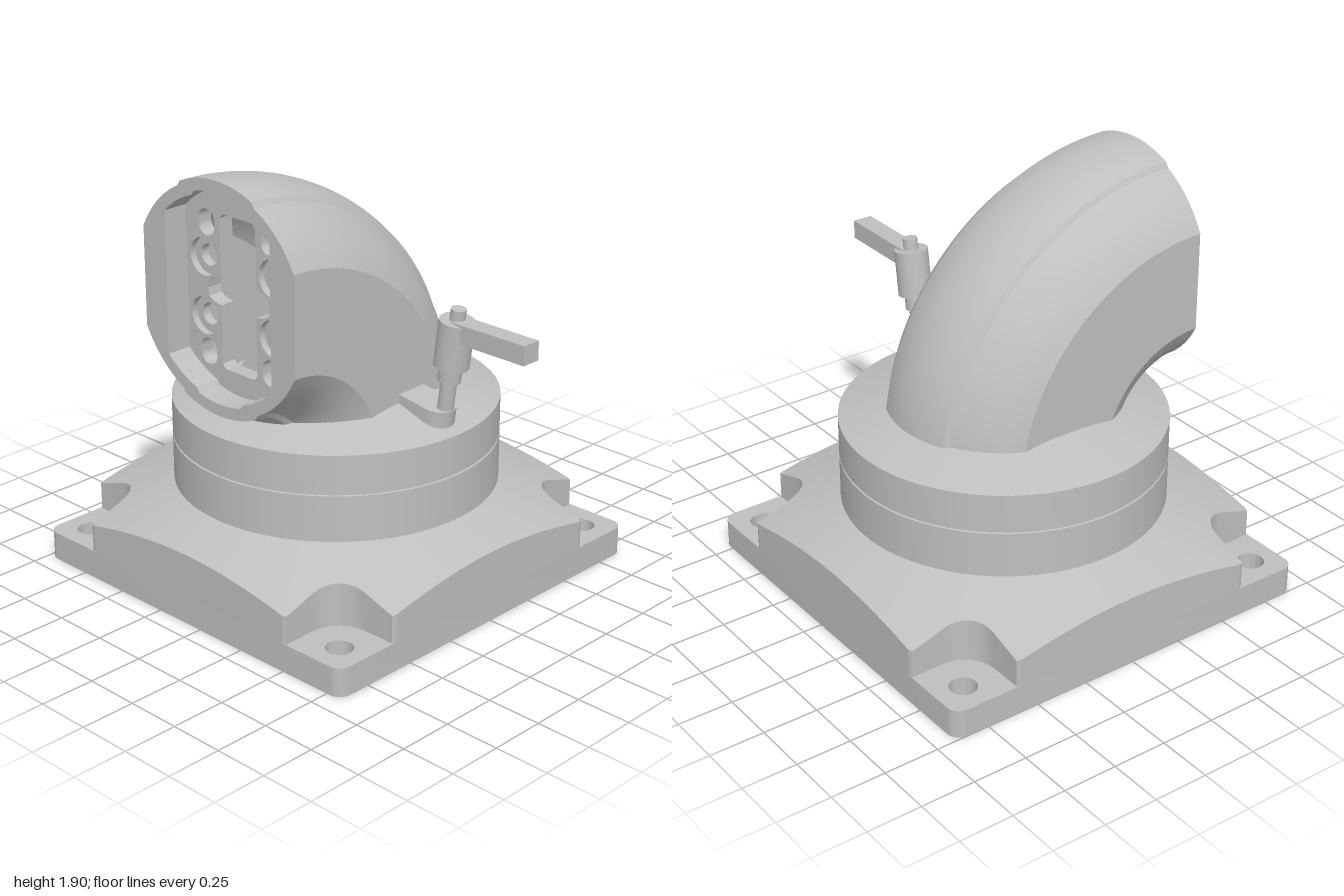
import * as THREE from 'three';
import { toCreasedNormals } from 'three/addons/utils/BufferGeometryUtils.js';

const CREASE = 0.28;
const BEND = 0.6875; // radius of the elbow's centre line, also the bend centre in y and z
const HALF = 0.9125; // half width of the square base

export function createModel() {
  const grey = new THREE.MeshStandardMaterial({ color: 0xbfbfbf, side: THREE.DoubleSide });
  const model = new THREE.Group();
  const body = new THREE.Group();
  body.name = 'body';
  body.position.x = HALF - 1;
  model.add(body);

  const add = (name, geometry, parent = body) => {
    const mesh = new THREE.Mesh(geometry, grey);
    mesh.name = name;
    parent.add(mesh);
    return mesh;
  };
  const V2 = (x, y) => new THREE.Vector2(x, y);
  const circle = (r, x = 0, y = 0) => new THREE.Path().absarc(x, y, r, 0, Math.PI * 2).getPoints(24);
  const roundRect = (w, h, r, x = 0, y = 0) => {
    const p = new THREE.Path(), a = w / 2 - r, b = h / 2 - r;
    p.absarc(x + a, y + b, r, 0, Math.PI / 2);
    p.absarc(x - a, y + b, r, Math.PI / 2, Math.PI);
    p.absarc(x - a, y - b, r, Math.PI, Math.PI * 1.5);
    p.absarc(x + a, y - b, r, Math.PI * 1.5, Math.PI * 2);
    return p.getPoints(8);
  };
  const shape = (points, holes = []) => {
    const s = new THREE.Shape(points);
    s.holes = holes.map(h => new THREE.Path(h));
    return s;
  };
  const extrude = (points, holes, depth) => toCreasedNormals(
    new THREE.ExtrudeGeometry(shape(points, holes), { depth, bevelEnabled: false }), CREASE);
  // Horizontal plate from y0 to y1
  const plate = (points, holes, y0, y1) =>
    extrude(points, holes, y1 - y0).rotateX(-Math.PI / 2).translate(0, y0, 0);

  // Skin through closed rings with equal point counts
  const loft = rings => {
    const n = rings[0].length, index = [];
    for (let i = 0; i < rings.length - 1; i++) for (let j = 0; j < n; j++) {
      const a = i * n + j, b = i * n + (j + 1) % n;
      index.push(a, a + n, b, b, a + n, b + n);
    }
    const g = new THREE.BufferGeometry().setFromPoints(rings.flat());
    g.setIndex(index);
    return toCreasedNormals(g, CREASE);
  };

  // ---- Base: sloped skirt with four corner pockets ----
  const quarter = [];
  for (let i = 0; i <= 16; i++) quarter.push(V2(HALF, -0.585 + 1.17 * i / 16));
  quarter.push(V2(HALF - 0.007, 0.605));
  for (let i = 0; i <= 8; i++) {
    const a = -Math.PI / 2 * (1 + i / 8);
    quarter.push(V2(0.75 + 0.145 * Math.cos(a), 0.75 + 0.145 * Math.sin(a)));
  }
  quarter.push(V2(0.605, HALF - 0.007));
  const outline = [];
  for (let k = 0; k < 4; k++)
    for (const p of quarter) outline.push(p.clone().rotateAround(V2(0, 0), k * Math.PI / 2));
  const skirt = (scale, drop, inner, floor) => {
    const slope = r => 0.405 - 0.4 * (r - 0.715) - drop;
    const pts = outline.map(p => p.clone().multiplyScalar(scale));
    return loft([
      pts.map(p => { const q = p.clone().setLength(inner); return new THREE.Vector3(q.x, slope(inner), q.y); }),
      pts.map(p => new THREE.Vector3(p.x, slope(p.length()), p.y)),
      pts.map(p => new THREE.Vector3(p.x, floor, p.y)),
    ]);
  };
  add('baseSkirt', skirt(1, 0, 0.7, 0.13));
  add('baseSkirtInside', skirt(0.94, 0.05, 0.64, 0.08));
  add('baseRim', plate(roundRect(2 * HALF, 2 * HALF, 0.06), [roundRect(1.7, 1.7, 0.04)], 0, 0.13));
  for (const sx of [-1, 1]) for (const sz of [-1, 1]) {
    const x = sx * 0.777, z = sz * 0.777;
    add('cornerFloor', plate(roundRect(0.33, 0.33, 0.14, sx * 0.735, sz * 0.735), [circle(0.06, x, z)], 0.07, 0.13));
    add('cornerFloorEdge', plate(roundRect(0.26, 0.26, 0.01, sx * 0.755, sz * 0.755), [circle(0.062, x, z)], 0.072, 0.1295));
    add('cornerBoss', plate(circle(0.115, x, z), [circle(0.06, x, z)], 0, 0.1));
  }
  // Radial ribs beneath the base, those to the corners reaching the bosses
  for (let k = 0; k < 8; k++) {
    const rib = new THREE.Group();
    rib.name = 'rib';
    rib.rotation.y = k * Math.PI / 4;
    body.add(rib);
    add('ribWeb', new THREE.BoxGeometry(0.22, 0.25, 0.045).translate(0.755, 0.155, 0), rib);
    if (k % 2) add('ribFoot', new THREE.BoxGeometry(0.15, 0.07, 0.045).translate(0.93, 0.065, 0), rib);
  }

  // ---- Cable opening outline: slot with a small lobe on both sides ----
  const slotOutline = lobe => {
    const side = [[0.085, -0.34], [0.105, -0.32], [0.105, -lobe], [0.15, -lobe * 0.88], [0.178, -lobe * 0.6],
      [0.185, 0], [0.178, lobe * 0.6], [0.15, lobe * 0.88], [0.105, lobe], [0.105, 0.32], [0.085, 0.34]];
    return [...side.map(([x, y]) => V2(x, y)), ...side.map(([x, y]) => V2(-x, -y))];
  };
  const slot = slotOutline(0.06);
  const crossSlot = slotOutline(0.1).map(p => V2(-p.y, p.x));

  // ---- Hub beneath the base, its slot running left to right ----
  const boltHoles = [-1, 1].flatMap(a => [-1, 1].map(b => circle(0.043, a * 0.205, b * 0.205)));
  const pinHoles = [-1, 1].map(a => circle(0.028, 0, a * 0.26));
  add('hubRing', plate(circle(0.67), [circle(0.585)], 0, 0.38));
  add('hubPlate', plate(circle(0.6), [crossSlot, ...boltHoles, ...pinHoles], 0.12, 0.24));
  add('hubCore', plate(circle(0.6), [crossSlot], 0.24, 0.7));

  // ---- Swivel rings and sloped collar ----
  const profile = [[0.66, 0.40], [0.708, 0.402], [0.708, 0.412], [0.717, 0.415], [0.717, 0.62], [0.709, 0.622],
    [0.709, 0.628], [0.717, 0.63], [0.717, 0.803], [0.45, 0.888], [0.42, 0.888]].map(([r, y]) => V2(r, y));
  add('swivelRings', toCreasedNormals(new THREE.LatheGeometry(profile, 72), CREASE));

  // ---- Elbow: hollow, swept through a quarter turn ----
  // Circle with flat sides and a slightly raised band on top and below
  const section = (R, half, band, raised) => {
    const pts = [];
    const arc = (r, a0, a1, n) => {
      for (let i = 0; i <= n; i++) {
        const a = a0 + (a1 - a0) * i / n;
        pts.push(V2(r * Math.cos(a), 0.018 + r * Math.sin(a)));
      }
    };
    const edge = Math.acos(half / R), b0 = Math.acos((band + 0.015) / R), b1 = Math.acos(band / raised);
    for (const turn of [0, Math.PI]) {
      arc(R, turn + edge, turn + b0, 6);
      arc(raised, turn + b1, turn + Math.PI - b1, 10);
      arc(R, turn + Math.PI - b0, turn + Math.PI - edge, 6);
    }
    return pts;
  };
  const bend = (pts, maxZ) => Array.from({ length: 37 }, (_, i) => {
    const a = i / 36 * Math.PI / 2;
    return pts.map(p => new THREE.Vector3(p.x, BEND + (BEND + p.y) * Math.cos(a),
      Math.min(maxZ, BEND - (BEND + p.y) * Math.sin(a))));
  });
  const outer = section(0.497, 0.445, 0.21, 0.511);
  const inner = section(0.425, 0.375, 0.19, 0.437);
  const recess = section(0.443, 0.31, 0.125, 0.458);
  add('elbow', loft(bend(outer, BEND)));
  add('elbowInside', loft(bend(inner, 0.5)));
  add('elbowFloor', plate(inner, [crossSlot], 0.69, 0.75));

  // ---- Mounting face in the mouth of the elbow ----
  const face = new THREE.Group();
  face.name = 'mountingFace';
  face.position.y = 2 * BEND;
  body.add(face);
  add('mouthRim', new THREE.ShapeGeometry(shape(outer, [recess])).translate(0, 0, BEND), face);
  add('mouthWall', loft([BEND, 0.5].map(z => recess.map(p => new THREE.Vector3(p.x, p.y, z)))), face);
  const corners = [[-1, -1], [-1, 1], [1, -1], [1, 1]];
  const pockets = corners.map(([a, b]) => roundRect(0.095, 0.115, 0.045, a * 0.185, b * 0.285));
  const screws = r => corners.map(([a, b]) => circle(r, a * 0.205, b * 0.13));
  add('facePlate', extrude(recess, [slot, ...pockets, ...screws(0.083)], 0.03).translate(0, 0, 0.54), face);
  add('screwSeats', extrude(recess, [slot, ...pockets, ...screws(0.048)], 0.04).translate(0, 0, 0.5), face);

  // ---- Clamping lever ----
  const lever = new THREE.Group();
  lever.name = 'clampLever';
  lever.position.set(0.55, 0.9, 0);
  lever.rotation.z = -0.14;
  model.add(lever);
  const lug = new THREE.Path().moveTo(-0.25, -0.078);
  lug.lineTo(-0.04, -0.078);
  lug.absarc(-0.04, 0, 0.078, -Math.PI / 2, Math.PI / 2);
  lug.lineTo(-0.25, 0.078);
  add('lug', plate(lug.getPoints(12), [], -0.08, 0), lever);
  for (const [name, r, y0, y1] of [['rod', 0.035, -0.02, 0.14], ['collar', 0.05, 0.13, 0.21],
    ['leverHub', 0.076, 0.2, 0.41], ['pin', 0.033, 0.4, 0.462]])
    add(name, new THREE.CylinderGeometry(r, r, y1 - y0, 28).translate(0, (y0 + y1) / 2, 0), lever);
  add('leverArm', new THREE.BoxGeometry(0.39, 0.085, 0.09).translate(0.805, 1.2675, 0), model);

  return model;
}
